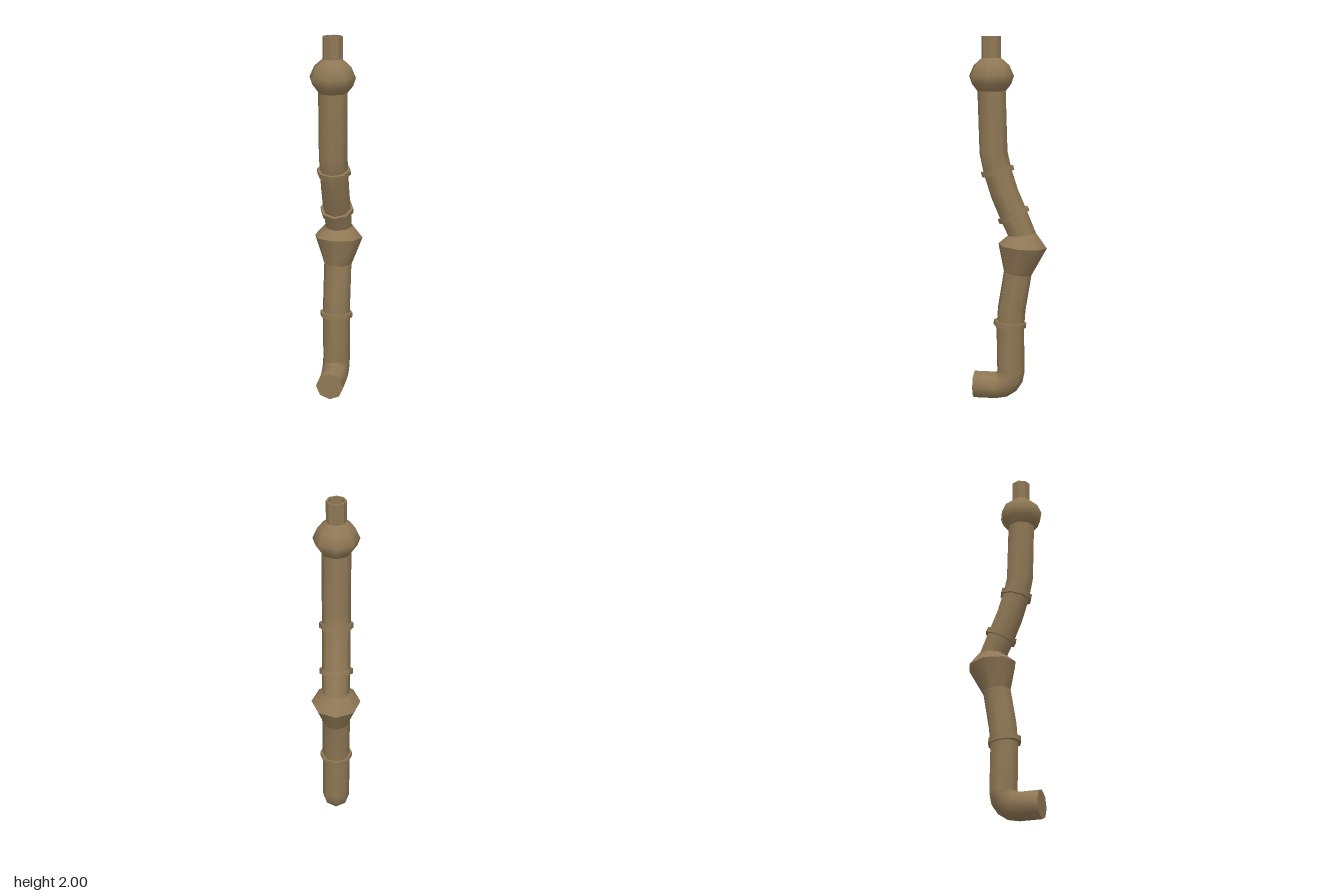
import * as THREE from 'three';
import { mergeGeometries } from 'three/addons/utils/BufferGeometryUtils.js';

const SIDES = 8;

// Skin through octagonal rings [z, y, tilt, radius]; tilt leans the axis from +y towards +z
function loft(rings) {
  const pos = [], index = [];
  rings.forEach(([z, y, a, r], i) => {
    for (let j = 0; j < SIDES; j++) {
      const t = (j / SIDES) * Math.PI * 2, c = r * Math.cos(t);
      pos.push(r * Math.sin(t), y - c * Math.sin(a), z + c * Math.cos(a));
      if (i === 0) continue;
      const k = (j + 1) % SIDES, lo = (i - 1) * SIDES, hi = i * SIDES;
      index.push(lo + j, lo + k, hi + k, lo + j, hi + k, hi + j);
    }
  });
  const g = new THREE.BufferGeometry();
  g.setAttribute('position', new THREE.Float32BufferAttribute(pos, 3));
  g.setIndex(index);
  g.computeVertexNormals();
  return g;
}

// One loft per step, so the edges between bands stay sharp
function bands(rings) {
  return mergeGeometries(rings.slice(1).map((ring, i) => loft([rings[i], ring])));
}

export function createModel() {
  const model = new THREE.Group();
  const smooth = new THREE.MeshStandardMaterial({ color: 0x8f7855, side: THREE.DoubleSide });
  const faceted = smooth.clone();
  faceted.flatShading = true;
  const add = (name, geometry, material = smooth) => {
    const mesh = new THREE.Mesh(geometry, material);
    mesh.name = name;
    model.add(mesh);
  };
  const R = 0.077;

  // Lower pipe: forward outlet, elbow, then the gently leaning riser
  const lower = [[0.19, 0.079, -Math.PI / 2, R]];
  for (let i = 0; i <= 4; i++) {
    const a = (i / 4) * Math.PI / 2;
    lower.push([0.07 - 0.086 * Math.sin(a), 0.165 - 0.086 * Math.cos(a), a - Math.PI / 2, R]);
  }
  lower.push([-0.012, 0.4, -0.04, R], [-0.02, 0.52, -0.1, R], [-0.053, 0.72, -0.13, R]);
  add('lowerPipe', loft(lower));
  add('outletCap', loft([[0.19, 0.079, -Math.PI / 2, 0], lower[0]]));

  // Flared joint
  add('flaredJoint', bands([
    [-0.053, 0.72, -0.12, R],
    [-0.08, 0.873, -0.08, 0.134],
    [-0.077, 0.937, 0.1, R],
  ]));

  // Upper pipe
  add('upperPipe', loft([
    [-0.082, 0.925, 0.3, 0.074], [-0.03, 1.042, 0.42, R], [0.02, 1.16, 0.32, R],
    [0.058, 1.28, 0.24, R], [0.08, 1.38, 0.1, R], [0.09, 1.715, 0.02, R],
  ]));

  // Clamp rings around the pipes
  const clamps = [[-0.01, 0.435, -0.09], [-0.03, 1.042, 0.45], [0.058, 1.28, 0.24]];
  for (const [z, y, a] of clamps) {
    const ring = (h, r) => [z + h * Math.sin(a), y + h * Math.cos(a), a, r];
    add('clampRing', bands([ring(-0.014, 0.07), ring(-0.014, 0.091), ring(0.014, 0.091), ring(0.014, 0.07)]));
  }

  // Round knob
  add('knob', loft([
    [0.09, 1.71, 0, 0.077], [0.09, 1.748, 0, 0.107], [0.09, 1.79, 0, 0.122],
    [0.09, 1.847, 0, 0.097], [0.09, 1.892, 0, 0.045], [0.09, 1.9, 0, 0],
  ]));

  // Hollow spout on top
  add('spout', bands([
    [0.09, 1.88, 0, 0.053], [0.09, 2, 0, 0.053], [0.09, 2, 0, 0.043], [0.09, 1.89, 0, 0.043],
  ]), faceted);

  return model;
}
